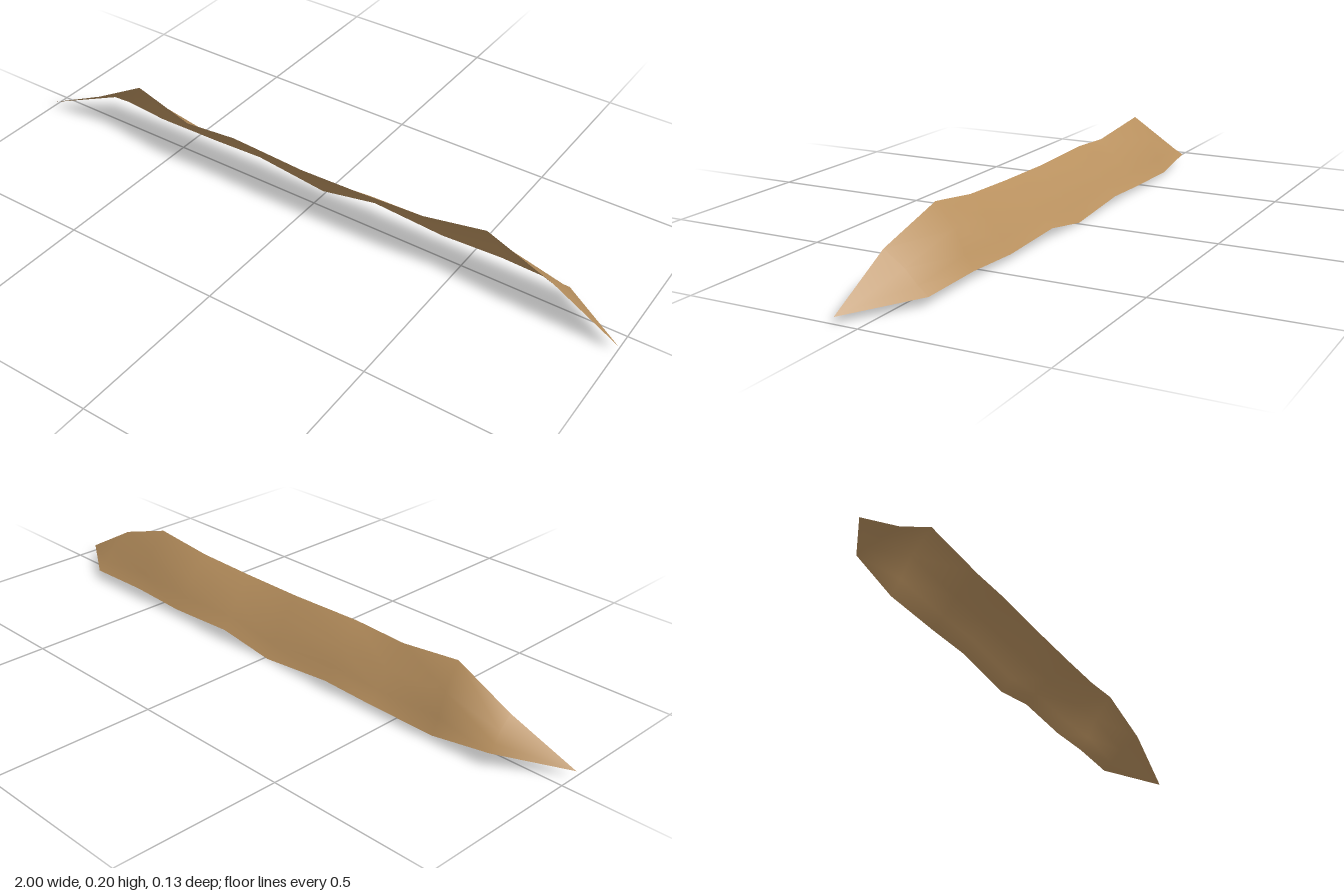
import * as THREE from 'three';
import { mergeVertices } from 'three/addons/utils/BufferGeometryUtils.js';

// Stations along the strip: upper edge [x, y, z], lower edge [x, y, z]
const stations = [
  [[-1, 0.017, 0.06], [-1, 0.017, 0.06]],
  [[-0.8, 0.105, 0.045], [-0.82, 0.04, -0.06]],
  [[-0.63, 0.197, 0.037], [-0.64, 0.017, -0.068]],
  [[-0.42, 0.16, 0.063], [-0.42, 0.02, -0.068]],
  [[-0.25, 0.171, 0.058], [-0.25, 0.026, -0.068]],
  [[0, 0.162, 0.063], [-0.01, 0.002, -0.063]],
  [[0.2, 0.165, 0.061], [0.17, 0.033, -0.068]],
  [[0.4, 0.172, 0.058], [0.4, 0.021, -0.064]],
  [[0.59, 0.2, 0.046], [0.59, 0.03, -0.064]],
  [[0.8, 0.13, 0.062], [0.8, 0.027, -0.064]],
  [[1, 0.02, 0.066], [1, 0.02, 0.066]],
];

// Rows across the strip: fraction from upper to lower edge, and backward bulge
const rows = [[0, 0], [0.4, -0.011], [0.76, 0], [1, 0]];

function stripGeometry() {
  const positions = [];
  const index = [];
  for (const [upper, lower] of stations) {
    const a = new THREE.Vector3(...upper);
    const b = new THREE.Vector3(...lower);
    const width = Math.min(1, a.distanceTo(b) / 0.18);
    for (const [t, bulge] of rows) {
      const p = a.clone().lerp(b, t);
      positions.push(p.x, p.y, p.z + bulge * width);
    }
  }
  const n = rows.length;
  const last = stations.length - 2;
  for (let s = 0; s <= last; s++) {
    for (let r = 0; r < n - 1; r++) {
      const p = s * n + r;
      const q = p + n;
      // the pointed ends need only one triangle per row
      if (s < last) index.push(p + 1, q, q + 1);
      else index.push(p, q, p + 1);
      if (s > 0 && s < last) index.push(p, q, p + 1);
    }
  }
  const geometry = new THREE.BufferGeometry();
  geometry.setAttribute('position', new THREE.Float32BufferAttribute(positions, 3));
  geometry.setIndex(index);
  const merged = mergeVertices(geometry, 1e-5);
  merged.computeVertexNormals();
  return merged;
}

export function createModel() {
  const group = new THREE.Group();
  group.name = 'curvedStrip';
  const tan = new THREE.MeshStandardMaterial({ color: 0xb8905e, side: THREE.DoubleSide });
  tan.name = 'tan';
  // One thin sheet leaning back, pointed at both ends
  const strip = new THREE.Mesh(stripGeometry(), tan);
  strip.name = 'strip';
  group.add(strip);
  return group;
}
